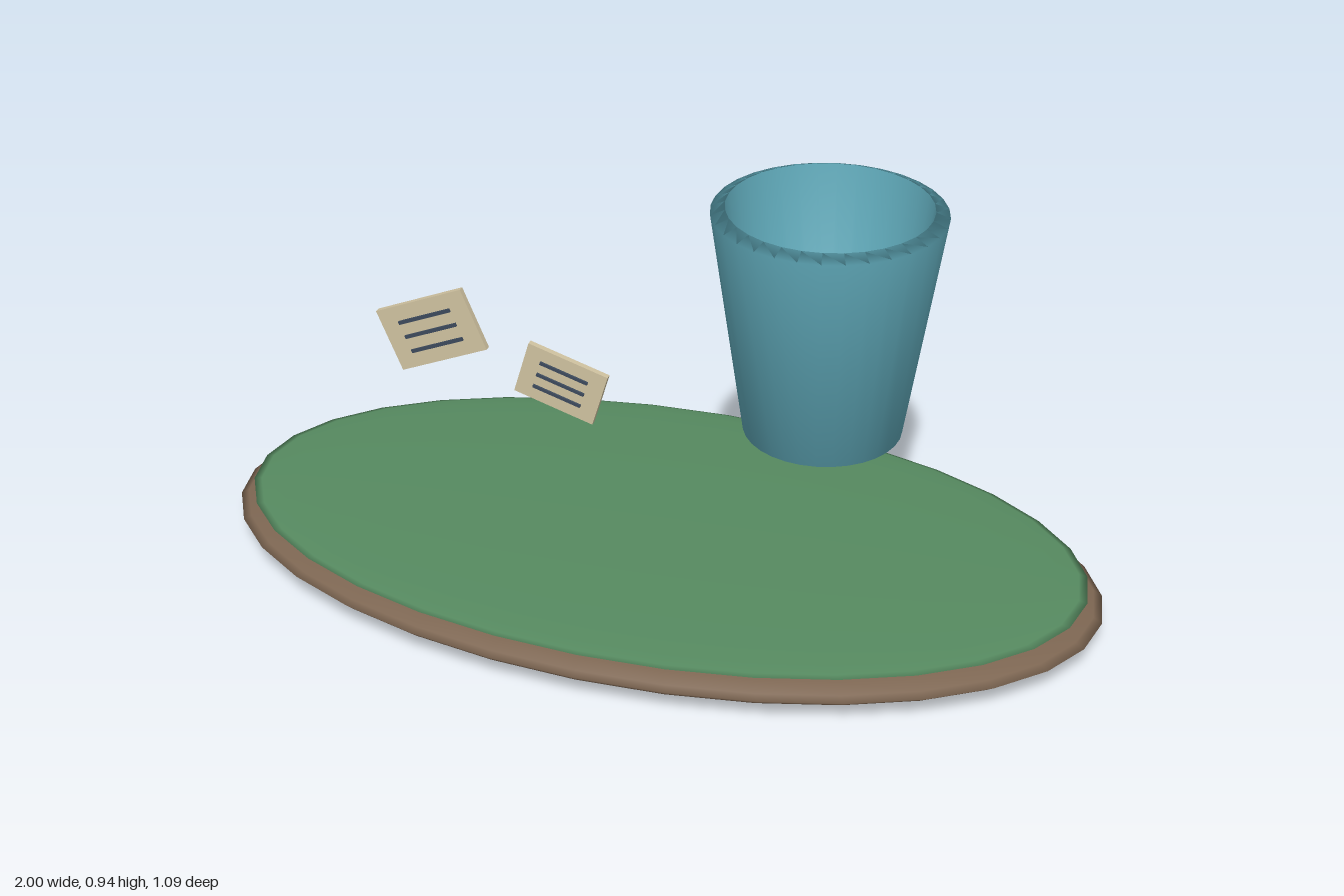
import * as THREE from 'three';

const paint = (color) => new THREE.MeshStandardMaterial({ color });
const wood = paint(0x7d6652);
const felt = paint(0x568a60);
const glaze = paint(0x5fa8b8);
const paper = paint(0xcfc2a0);
const ink = paint(0x3d4a5c);

function add(parent, name, geometry, material, x = 0, y = 0, z = 0) {
  const mesh = new THREE.Mesh(geometry, material);
  mesh.name = name;
  mesh.position.set(x, y, z);
  parent.add(mesh);
  return mesh;
}

// Flattened ellipsoid used for both layers of the oval top
function ovalDisc(parent, name, material, rx, ry, rz, y) {
  add(parent, name, new THREE.SphereGeometry(1, 32, 16).scale(rx, ry, rz), material, 0, y, 0);
}

// Small tilted card with three written lines on its front
function noteCard(parent, name, x, y, angle, scale) {
  const card = new THREE.Group();
  card.name = name;
  card.position.set(x, y, 0);
  card.rotation.z = angle;
  add(card, 'cardSheet', new THREE.BoxGeometry(0.222 * scale, 0.15 * scale, 0.014), paper);
  for (const row of [-1, 0, 1]) {
    add(card, 'cardLine', new THREE.BoxGeometry(0.134 * scale, 0.008 * scale, 0.006), ink,
      0, row * 0.036 * scale, 0.009);
  }
  parent.add(card);
}

export function createModel() {
  const model = new THREE.Group();
  model.name = 'floatingCupAndNotes';

  // Oval base with a felt layer on top
  ovalDisc(model, 'ovalBase', wood, 1, 0.06, 0.545, 0.06);
  ovalDisc(model, 'feltTop', felt, 0.965, 0.019, 0.525, 0.104);

  // Hollow tapered cup: outside, rim, then inside down to the floor
  const profile = [
    [0, 0.43], [0.17, 0.43], [0.245, 0.933], [0.215, 0.945], [0.15, 0.47], [0, 0.47],
  ].map(([r, y]) => new THREE.Vector2(r, y));
  add(model, 'cup', new THREE.LatheGeometry(profile, 32), glaze, 0.37, 0, 0);

  // Two floating notes
  noteCard(model, 'largeNote', -0.527, 0.512, 0.4, 1);
  noteCard(model, 'smallNote', -0.223, 0.43, -0.29, 0.86);

  return model;
}
